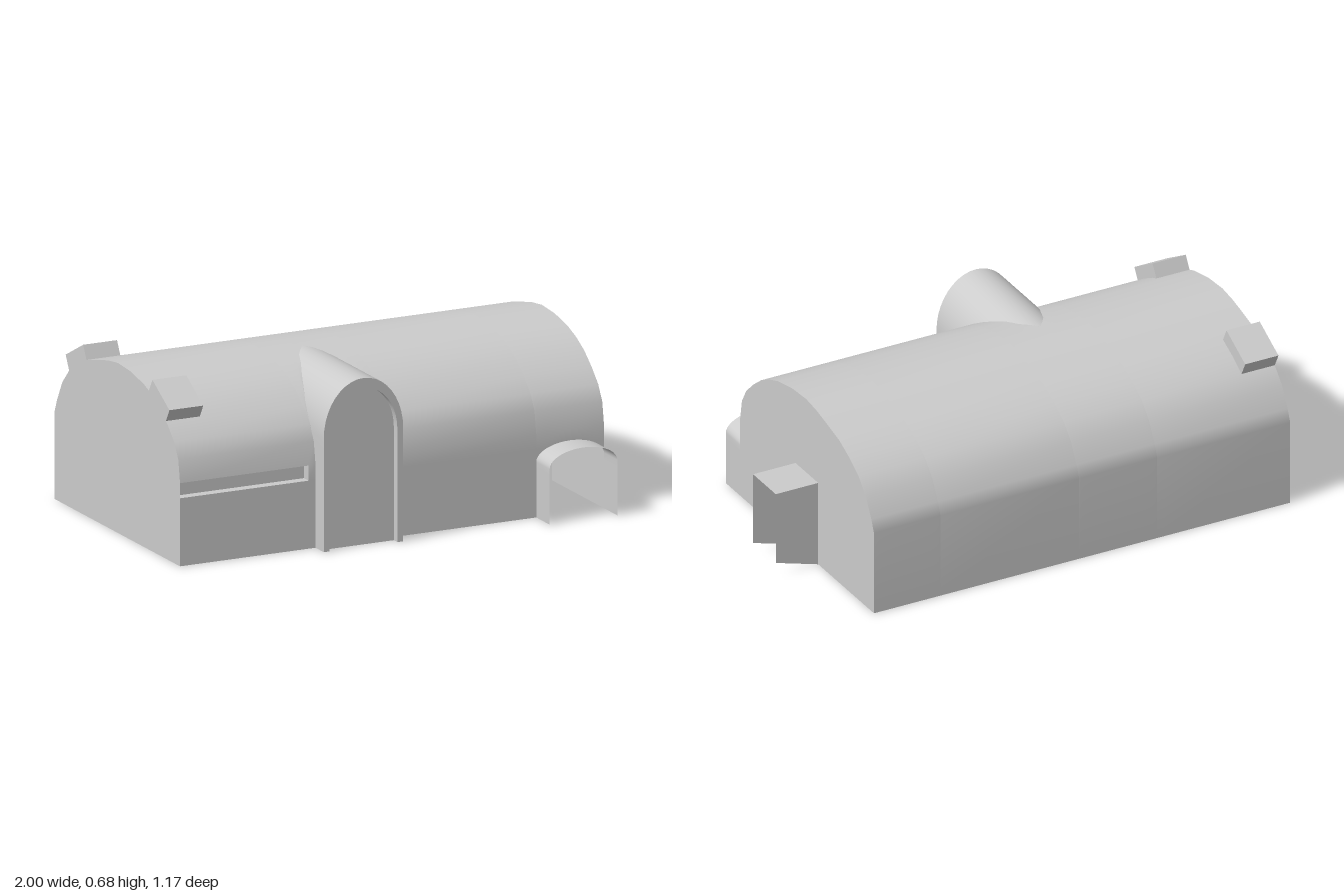
import * as THREE from 'three';

const smooth = new THREE.MeshStandardMaterial({ color: 0xcccccc, side: THREE.DoubleSide });
const flat = new THREE.MeshStandardMaterial({ color: 0xcccccc, side: THREE.DoubleSide, flatShading: true });
const X0 = -1, X1 = 0.815, SLOT_X = -0.45;

// Cross-section of the hall as [z, y], from front foot over the vault to back foot
const PROFILE = [
  [0.475, 0], [0.475, 0.27], [0.475, 0.33], [0.46, 0.42], [0.426, 0.48], [0.37, 0.535],
  [0.308, 0.584], [0.24, 0.62], [0.172, 0.645], [0.06, 0.668], [-0.05, 0.675], [-0.13, 0.665],
  [-0.207, 0.648], [-0.317, 0.62], [-0.395, 0.583], [-0.465, 0.54], [-0.522, 0.48],
  [-0.566, 0.4], [-0.587, 0.35], [-0.587, 0],
];

// Position along the front half of the profile at height y
function profileAt(y) {
  let k = 0;
  while (k < 9 && PROFILE[k + 1][1] < y) k++;
  return k + (y - PROFILE[k][1]) / (PROFILE[k + 1][1] - PROFILE[k][1]);
}

function profilePoint(s) {
  const k = Math.min(Math.floor(s), PROFILE.length - 2), f = s - k;
  return [0, 1].map((c) => THREE.MathUtils.lerp(PROFILE[k][c], PROFILE[k + 1][c], f));
}

const frontZ = (y) => profilePoint(profileAt(y))[0];

// Surface through a list of equally long point rows
function sheet(rows, skip = () => false) {
  const n = rows[0].length, index = [];
  for (let i = 0; i < rows.length - 1; i++) {
    for (let j = 0; j < n - 1; j++) {
      if (skip(i, j)) continue;
      const a = i * n + j, b = a + n;
      index.push(a, b, b + 1, a, b + 1, a + 1);
    }
  }
  const geo = new THREE.BufferGeometry();
  geo.setAttribute('position', new THREE.Float32BufferAttribute(rows.flat(2), 3));
  geo.setIndex(index);
  geo.computeVertexNormals();
  return geo;
}

// Arch outline as [x, y], left foot to right foot
function arch(cx, half, spring, top) {
  const pts = [];
  for (let i = 0; i < 8; i++) pts.push([cx - half, (spring * i) / 8]);
  for (let i = 0; i <= 20; i++) {
    const a = Math.PI * (1 - i / 20);
    pts.push([cx + half * Math.cos(a), spring + (top - spring) * Math.sin(a)]);
  }
  for (let i = 7; i >= 0; i--) pts.push([cx + half, (spring * i) / 8]);
  return pts;
}

const shapeOf = (pts) => new THREE.ShapeGeometry(new THREE.Shape(pts.map(([x, y]) => new THREE.Vector2(x, y))));

// Barrel from an arch at depth z back to the hall's front surface
const barrel = (pts, z) => sheet(pts.map(([x, y]) => [[x, y, z], [x, y, frontZ(y)]]));

export function createModel() {
  const model = new THREE.Group();
  const add = (name, geo, mat = smooth, parent = model) => {
    const mesh = new THREE.Mesh(geo, mat);
    mesh.name = name;
    parent.add(mesh);
    return mesh;
  };

  const bayOuter = arch(-0.25, 0.17, 0.45, 0.67);
  const bayInner = arch(-0.25, 0.145, 0.45, 0.63);
  const porchArch = arch((0.525 + X1) / 2, (X1 - 0.525) / 2, 0.22, 0.288);

  // Vaulted skin, cut by the two arches and the slot
  const columns = [[X0, 0], [SLOT_X, 0], ...bayOuter, ...porchArch];
  const rows = columns.map(([x, y]) => {
    const start = profileAt(y);
    return PROFILE.map((_, j) => {
      const [z, h] = profilePoint(Math.max(j, start));
      return [x, h, z];
    });
  });
  add('vaultedHall', sheet(rows, (i, j) =>
    Math.abs(columns[i + 1][0] - columns[i][0]) < 1e-6 || (i === 0 && j === 1)));

  // End walls, the left one with a doorway
  const doorway = [[-0.145, 0], [-0.145, 0.355], [0.035, 0.355], [0.035, 0]];
  const leftWall = add('leftEndWall', shapeOf([...PROFILE, ...doorway]).rotateY(-Math.PI / 2), flat);
  leftWall.position.x = X1;
  const rightWall = add('rightEndWall', shapeOf(PROFILE).rotateY(-Math.PI / 2), flat);
  rightWall.position.x = X0;

  // Tall arched bay with a rim and recessed panel
  const bay = new THREE.Group();
  bay.name = 'archedBay';
  model.add(bay);
  add('bayBarrel', barrel(bayOuter, 0.545), smooth, bay);
  add('bayRim', shapeOf([...bayOuter, ...[...bayInner].reverse()]), flat, bay).position.z = 0.545;
  add('bayReveal', sheet(bayInner.map(([x, y]) => [[x, y, 0.515], [x, y, 0.545]])), smooth, bay);
  add('bayPanel', shapeOf(bayInner), flat, bay).position.z = 0.515;

  // Open low-arched porch
  add('porchArch', barrel(porchArch, 0.588));

  // Recessed slot in the front wall
  const slot = [[0.475, 0.27], [0.435, 0.27], [0.435, 0.33], [0.475, 0.33]];
  add('wallSlot', sheet([X0, SLOT_X].map((x) => slot.map(([z, y]) => [x, y, z]))), flat);
  add('wallSlotEnd', shapeOf(slot).rotateY(-Math.PI / 2), flat).position.x = SLOT_X;

  // Doorway canopy: two slanted-foot cheeks and a roof
  const cheek = [[X1, 0], [1, 0.055], [1, 0.355], [X1, 0.355]];
  for (const z of [0.035, -0.145]) add('canopyCheek', shapeOf(cheek), flat).position.z = z;
  add('canopyRoof', sheet([X1, 1].map((x) => [[x, 0.355, 0.035], [x, 0.355, -0.145]])), flat);

  // Tilted roof boxes
  for (const [z, y, tilt] of [[0.297, 0.612, 0.53], [-0.405, 0.607, -0.475]]) {
    const box = add('roofBox', new THREE.BoxGeometry(0.145, 0.063, 0.167), flat);
    box.position.set(X0 + 0.0725, y, z);
    box.rotation.x = tilt;
  }
  return model;
}
